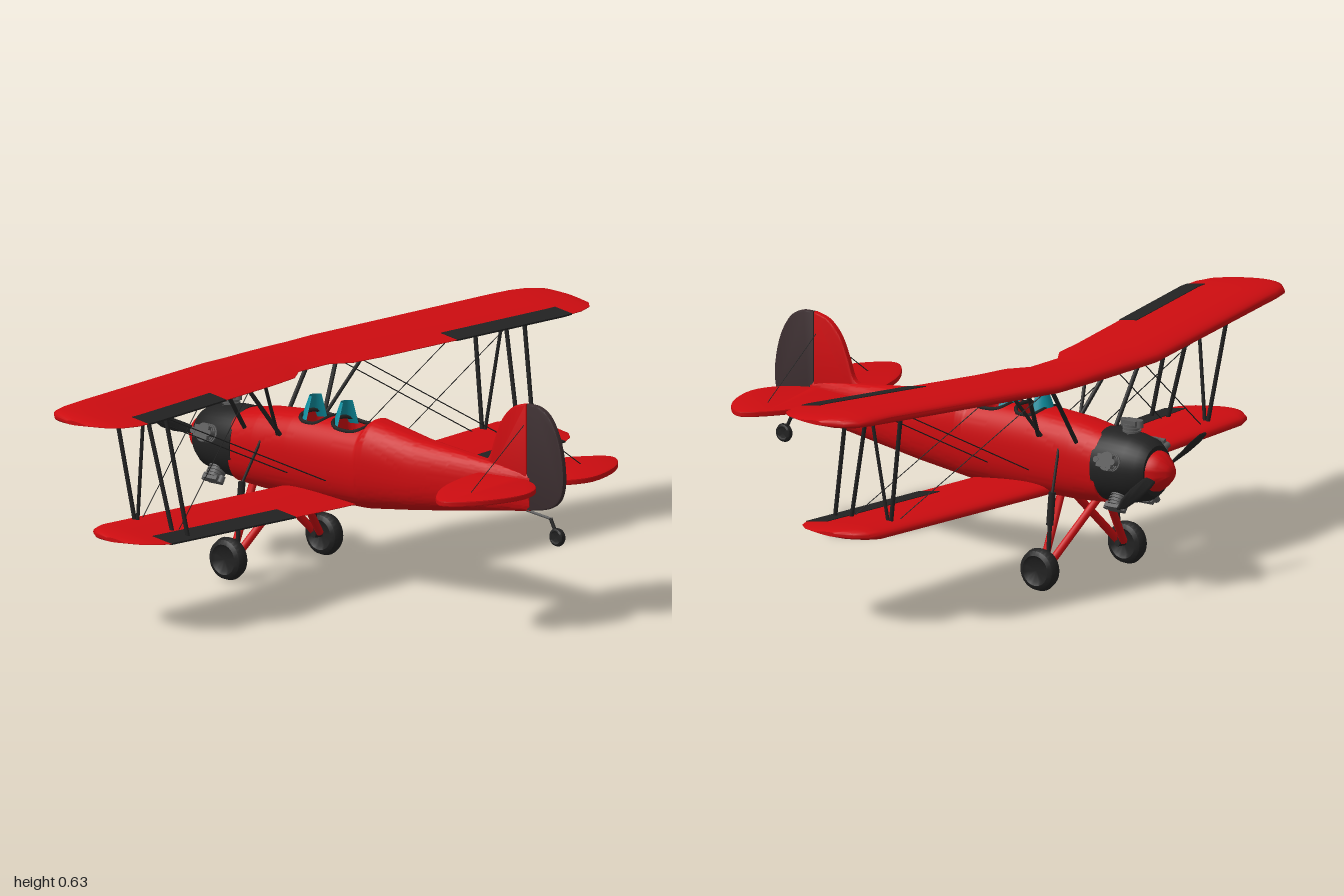
import * as THREE from 'three';
import { toCreasedNormals } from 'three/addons/utils/BufferGeometryUtils.js';

const mat = (color, side = THREE.FrontSide) => new THREE.MeshStandardMaterial({ color, side });
const RED = mat(0xcc0c10), BLACK = mat(0x222222), RUDDER = mat(0x3c2e30), STEEL = mat(0x5a5a5a);
const GLASS = mat(0x0d8fa0, THREE.DoubleSide);
const V = (x, y, z) => new THREE.Vector3(x, y, z);
const lerp = THREE.MathUtils.lerp;

// Skin closed rings of points, capping both ends; winding is set by signed volume
function loft(rings, crease = 0.7) {
  const n = rings[0].length, pts = rings.flat(), idx = [];
  for (let i = 0; i < rings.length - 1; i++) for (let j = 0; j < n; j++) {
    const a = i * n + j, b = i * n + (j + 1) % n;
    idx.push(a, b, a + n, b, b + n, a + n);
  }
  const e = (rings.length - 1) * n;
  for (let j = 1; j < n - 1; j++) idx.push(0, j + 1, j, e, e + j, e + j + 1);
  let vol = 0;
  for (let k = 0; k < idx.length; k += 3)
    vol += pts[idx[k]].dot(V(0, 0, 0).crossVectors(pts[idx[k + 1]], pts[idx[k + 2]]));
  const g = new THREE.BufferGeometry().setFromPoints(pts);
  g.setIndex(vol < 0 ? idx.reverse() : idx);
  return toCreasedNormals(g, crease);
}

// Interpolate rows [key, ...values] at key k
function sample(rows, k) {
  let i = 0;
  while (i < rows.length - 2 && k > rows[i + 1][0]) i++;
  const a = rows[i], b = rows[i + 1], t = (k - a[0]) / (b[0] - a[0]);
  return a.slice(1).map((v, j) => lerp(v, b[j + 1], t));
}

// Body stations: z, top, bottom, half width
const BODY = [[-0.47, 0.432, 0.228, 0.088], [-0.38, 0.448, 0.222, 0.092], [-0.26, 0.458, 0.222, 0.092],
  [-0.015, 0.456, 0.225, 0.086], [0, 0.476, 0.226, 0.085], [0.17, 0.446, 0.248, 0.068],
  [0.41, 0.425, 0.285, 0.036], [0.56, 0.41, 0.307, 0.011]];
const POW = 2.4;
// Cockpits: centre z, half length, half width
const PITS = [[-0.207, 0.044, 0.056], [-0.077, 0.06, 0.055]];
const bodyTop = (x, z) => {
  const [t, b, w] = sample(BODY, z);
  return (t + b) / 2 + (t - b) / 2 * Math.max(0, 1 - Math.abs(x / w) ** POW) ** (1 / POW);
};
const spow = (c, p) => Math.sign(c) * Math.abs(c) ** p;

function bodyRing(z, n = 80) {
  const [t, b, w] = sample(BODY, z), mid = (t + b) / 2;
  return Array.from({ length: n }, (_, i) => {
    const a = (i / n) * Math.PI * 2, x = w * spow(Math.cos(a), 2 / POW);
    let y = mid + (t - mid) * spow(Math.sin(a), 2 / POW);
    // sink the cockpit floors
    for (const [c, l, h] of PITS)
      if (y > mid && Math.abs(x / h) ** 3 + Math.abs((z - c) / l) ** 3 < 0.95) y = Math.min(y, 0.35);
    return V(x, y, z);
  });
}

// Wing panel from rows [x, leading z, trailing z, y, thickness], chord range u0..u1
function wingPanel(rows, x0, x1, u0, u1, grow = 0) {
  const xs = [x0, ...rows.map(r => r[0]).filter(x => x > x0 && x < x1), x1], N = 12;
  return loft(xs.map(x => {
    const [zl, zt, y, t] = sample(rows, Math.abs(x)), ring = [];
    for (let side = 1; side >= -1; side -= 2) for (let i = 0; i <= N; i++) {
      const f = (side > 0 ? i : N - i) / N, u = u0 + (u1 - u0) * (u0 ? f : f * f);
      const h = 4 * Math.max(0, Math.sqrt(u) - u) * t * (side > 0 ? 0.6 : 0.4);
      ring.push(V(x, y + side * (h + grow + 0.0008), lerp(zl, zt, u)));
    }
    return ring;
  }));
}
const mirrored = rows => [...rows.filter(r => r[0] > 0).map(r => [-r[0], ...r.slice(1)]).reverse(), ...rows];

const UPPER = [[0, -0.46, -0.235, 0.579, 0.038], [0.06, -0.46, -0.235, 0.579, 0.038], [0.12, -0.46, -0.195, 0.579, 0.038],
  [0.22, -0.46, -0.178, 0.58, 0.038], [0.83, -0.356, -0.066, 0.602, 0.038], [0.9, -0.344, -0.064, 0.604, 0.036],
  [0.95, -0.33, -0.08, 0.605, 0.03], [0.98, -0.3, -0.11, 0.606, 0.024], [1, -0.24, -0.165, 0.606, 0.01]];
const LOWER = [[0, -0.3, -0.035, 0.238, 0.034], [0.1, -0.3, -0.035, 0.24, 0.034], [0.8, -0.3, -0.035, 0.262, 0.034],
  [0.84, -0.285, -0.052, 0.264, 0.028], [0.87, -0.25, -0.085, 0.265, 0.02], [0.885, -0.2, -0.13, 0.265, 0.01]];

export function createModel() {
  const model = new THREE.Group();
  const add = (name, geo, material, parent = model) => {
    const m = new THREE.Mesh(geo, material);
    m.name = name;
    parent.add(m);
    return m;
  };
  const rod = (name, a, b, r, material = BLACK, flat = 1, sides = 8) => {
    const A = V(...a), B = V(...b);
    const m = add(name, new THREE.CylinderGeometry(r, r, A.distanceTo(B), sides), material);
    m.position.copy(A).add(B).multiplyScalar(0.5);
    m.quaternion.setFromUnitVectors(V(0, 1, 0), B.sub(A).normalize());
    m.scale.x = flat;
    return m;
  };
  // Lathe along the flight axis; profile is [radius, distance forward]
  const spun = (name, profile, material, y = 0.335) => {
    const g = new THREE.LatheGeometry(profile.map(p => new THREE.Vector2(...p)), 40).rotateX(-Math.PI / 2);
    const m = add(name, toCreasedNormals(g, 0.7), material);
    m.position.y = y;
    return m;
  };

  // Fuselage with sunk cockpits, padded rims and windshields
  add('fuselage', loft(Array.from({ length: 171 }, (_, i) => bodyRing(lerp(-0.47, 0.56, i / 170))), 0.8), RED);
  PITS.forEach(([c, l, h]) => {
    const pts = Array.from({ length: 32 }, (_, i) => {
      const a = i / 32 * Math.PI * 2, x = h * spow(Math.cos(a), 0.667), z = c + l * spow(Math.sin(a), 0.667);
      return V(x, bodyTop(x, Math.min(z, -0.016)), z);
    });
    add('cockpitRim', new THREE.TubeGeometry(new THREE.CatmullRomCurve3(pts, true), 64, 0.0055, 6, true), BLACK);
    add('windshield', new THREE.CylinderGeometry(0.02, 0.044, 0.07, 14, 1, true, Math.PI / 2, Math.PI), GLASS)
      .position.set(0, 0.47, c - l + 0.028);
  });

  // Cowl, spinner, propeller and radial engine
  spun('cowl', [[0, 0.455], [0.102, 0.46], [0.102, 0.5], [0.096, 0.56], [0.086, 0.6], [0.07, 0.622], [0, 0.622]], BLACK).scale.x = 0.9;
  spun('spinner', [[0, 0.61], [0.058, 0.615], [0.055, 0.632], [0.042, 0.65], [0.024, 0.668], [0.01, 0.677], [0, 0.679]], RED);
  const propeller = new THREE.Group();
  propeller.name = 'propeller';
  for (const s of [0, 1]) {
    const blade = loft([[0.02, 0.008, 0.9], [0.07, 0.017, 0.7], [0.13, 0.019, 0.45], [0.18, 0.015, 0.3], [0.207, 0.004, 0.25]]
      .map(([x, w, tw]) => Array.from({ length: 12 }, (_, i) => {
        const a = i / 6 * Math.PI, p = w * Math.cos(a), q = 0.004 * Math.sin(a);
        return V(x, p * Math.cos(tw) - q * Math.sin(tw), p * Math.sin(tw) + q * Math.cos(tw));
      })));
    add('propellerBlade', blade, BLACK, propeller).rotation.z = s * Math.PI;
  }
  propeller.position.set(0, 0.337, -0.637);
  propeller.rotation.z = -0.33;
  model.add(propeller);
  for (let i = 0; i < 5; i++) {
    const cyl = new THREE.Group();
    cyl.name = 'engineCylinder';
    add('barrel', new THREE.CylinderGeometry(0.021, 0.021, 0.05, 16), STEEL, cyl).position.y = 0.095;
    for (let k = 0; k < 4; k++)
      add('coolingFin', new THREE.CylinderGeometry(0.026, 0.026, 0.004, 16), STEEL, cyl).position.y = 0.092 + k * 0.009;
    add('cylinderHead', new THREE.BoxGeometry(0.036, 0.012, 0.05), STEEL, cyl).position.y = 0.125;
    for (const s of [-1, 1]) {
      const box = add('rockerBox', new THREE.CylinderGeometry(0.009, 0.009, 0.02, 10), STEEL, cyl);
      box.position.set(0, 0.122, s * 0.028);
    }
    cyl.position.set(0, 0.335, -0.535);
    cyl.rotation.z = i * Math.PI * 2 / 5;
    model.add(cyl);
  }

  // Wings and ailerons
  add('upperWing', wingPanel(mirrored(UPPER), -1, 1, 0, 1), RED);
  add('lowerWing', wingPanel(mirrored(LOWER), -0.885, 0.885, 0, 1), RED);
  for (const s of [-1, 1]) {
    const span = (a, b) => s > 0 ? [a, b] : [-b, -a];
    add('upperAileron', wingPanel(mirrored(UPPER), ...span(0.47, 0.86), 0.79, 1.005, 0.0015), BLACK);
    add('lowerAileron', wingPanel(mirrored(LOWER), ...span(0.295, 0.8), 0.74, 1.005, 0.0015), BLACK);
  }

  // Tail surfaces: flat outlines with a soft edge
  const plate = (pts, t) => toCreasedNormals(new THREE.ExtrudeGeometry(new THREE.Shape(pts.map(p => new THREE.Vector2(...p))),
    { depth: t, bevelSize: 0.004, bevelOffset: -0.004, bevelThickness: 0.004, bevelSegments: 2 }).translate(0, 0, -t / 2), 0.7);
  const smooth = pts => new THREE.SplineCurve(pts.map(p => new THREE.Vector2(...p))).getPoints(28).map(p => [p.x, p.y]);
  const half = smooth([[0.01, 0.395], [0.1, 0.4], [0.22, 0.435], [0.31, 0.49], [0.35, 0.54], [0.32, 0.59], [0.25, 0.635],
    [0.15, 0.662], [0.08, 0.645], [0.035, 0.605], [0.01, 0.555]]);
  add('tailplane', plate([...half, ...half.map(([x, z]) => [-x, z]).reverse()], 0.008).rotateX(Math.PI / 2), RED).position.y = 0.387;
  const fin = smooth([[0.37, 0.42], [0.41, 0.435], [0.432, 0.49], [0.46, 0.55], [0.5, 0.59], [0.548, 0.605]]);
  add('fin', plate([...fin, [0.548, 0.31], [0.4, 0.36]], 0.01).rotateY(-Math.PI / 2), RED);
  const rudder = smooth([[0.55, 0.605], [0.595, 0.602], [0.635, 0.575], [0.668, 0.51], [0.683, 0.42], [0.67, 0.355], [0.625, 0.322], [0.55, 0.308]]);
  add('rudder', plate(rudder, 0.008).rotateY(-Math.PI / 2), RUDDER);

  // Wheels: rounded tyre with hub discs
  const wheel = (name, x, y, z, r, w) => {
    const t = w / 2;
    const profile = [[0, -t * 0.7], [r * 0.55, -t * 0.7], [r * 0.7, -t], [r * 0.9, -t * 0.75], [r, 0],
      [r * 0.9, t * 0.75], [r * 0.7, t], [r * 0.55, t * 0.7], [0, t * 0.7]];
    const g = new THREE.LatheGeometry(profile.map(p => new THREE.Vector2(...p)), 28).rotateZ(Math.PI / 2);
    add(name, toCreasedNormals(g, 0.8), BLACK).position.set(x, y, z);
  };
  wheel('tailWheel', 0, 0.249, 0.655, 0.026, 0.018);
  rod('tailWheelStrut', [0, 0.308, 0.53], [0, 0.296, 0.635], 0.004, STEEL);
  rod('tailWheelFork', [0, 0.298, 0.63], [0, 0.25, 0.655], 0.005);

  for (const s of [-1, 1]) {
    // Main landing gear
    wheel('mainWheel', s * 0.195, 0.06, -0.37, 0.06, 0.045);
    rod('axle', [s * 0.15, 0.065, -0.37], [s * 0.2, 0.06, -0.37], 0.009);
    rod('rearGearLeg', [s * 0.02, 0.235, -0.31], [s * 0.165, 0.07, -0.36], 0.011, RED);
    rod('frontGearLeg', [s * 0.02, 0.235, -0.435], [s * 0.165, 0.07, -0.38], 0.011, RED);
    rod('shockLower', [s * 0.16, 0.07, -0.37], [s * 0.148, 0.2, -0.37], 0.006);
    rod('shockBody', [s * 0.151, 0.175, -0.37], [s * 0.14, 0.265, -0.37], 0.01);
    rod('shockUpper', [s * 0.14, 0.26, -0.37], [s * 0.085, 0.375, -0.35], 0.004);
    // Struts between the wings
    rod('rearStrut', [s * 0.73, 0.592, -0.12], [s * 0.705, 0.258, -0.06], 0.006);
    rod('middleStrut', [s * 0.73, 0.592, -0.19], [s * 0.705, 0.258, -0.115], 0.006);
    rod('frontStrut', [s * 0.73, 0.592, -0.305], [s * 0.705, 0.258, -0.25], 0.006);
    rod('diagonalStrut', [s * 0.73, 0.592, -0.2], [s * 0.705, 0.258, -0.245], 0.005);
    // Cabane struts
    rod('frontCabane', [s * 0.2, 0.575, -0.41], [s * 0.085, 0.4, -0.41], 0.006);
    rod('rearCabane', [s * 0.2, 0.575, -0.325], [s * 0.085, 0.4, -0.28], 0.006);
    rod('cabaneBrace', [s * 0.2, 0.575, -0.235], [s * 0.085, 0.4, -0.29], 0.005);
    // Bracing wires
    for (const dz of [0, 0.14]) {
      rod('flyingWire', [s * 0.72, 0.59, -0.3 + dz], [s * 0.09, 0.3, -0.25 + dz], 0.0016, BLACK, 1, 4);
      rod('landingWire', [s * 0.69, 0.265, -0.25 + dz], [s * 0.2, 0.575, -0.41 + dz], 0.0016, BLACK, 1, 4);
    }
    rod('tailWire', [0, 0.55, 0.54], [s * 0.23, 0.39, 0.54], 0.0014, BLACK, 1, 4);
    rod('elevatorHinge', [s * 0.015, 0.3925, 0.54], [s * 0.34, 0.3925, 0.54], 0.002, BLACK, 1, 4);
  }
  return model;
}
